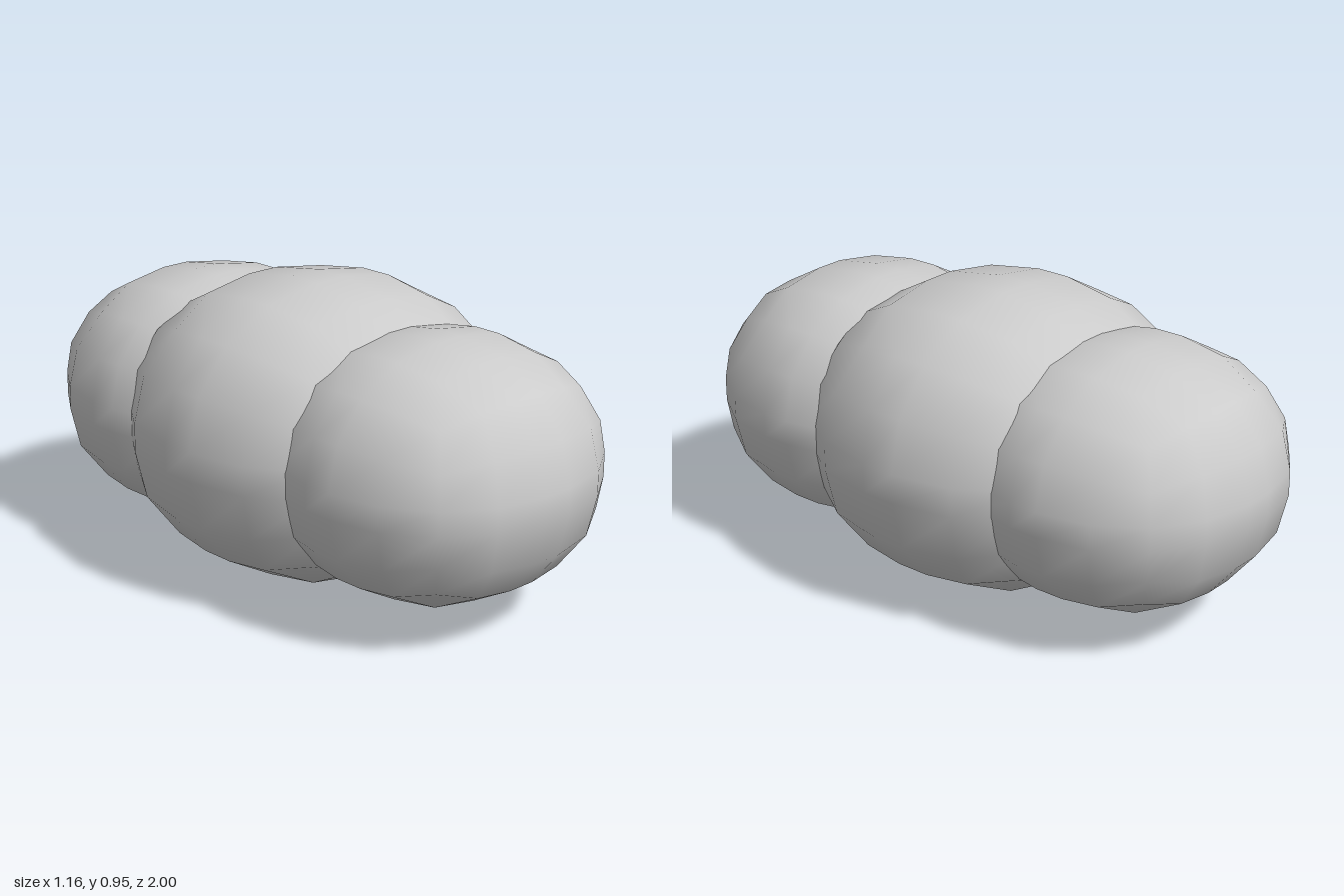
import * as THREE from 'three';
import { mergeVertices } from 'three/addons/utils/BufferGeometryUtils.js';

const FLAT = 0.1; // half-width of the flat strip between the rounded corners

// A cube with very large, evenly stepped rounded corners, almost a ball (half size 1)
function roundedCube() {
  const box = new THREE.BoxGeometry(5, 5, 5, 5, 5, 5);
  box.deleteAttribute('uv');
  box.deleteAttribute('normal');
  const geometry = mergeVertices(box);
  const position = geometry.attributes.position;
  const corner = (v) => Math.sign(v) * Math.tan((Math.abs(v) - 0.5) * Math.PI / 8);
  const p = new THREE.Vector3();
  for (let i = 0; i < position.count; i++) {
    p.fromBufferAttribute(position, i);
    const offset = new THREE.Vector3(Math.sign(p.x), Math.sign(p.y), Math.sign(p.z)).multiplyScalar(FLAT);
    p.set(corner(p.x), corner(p.y), corner(p.z)).normalize().multiplyScalar(1 - FLAT).add(offset);
    position.setXYZ(i, p.x, p.y, p.z);
  }
  return geometry;
}

export function createModel() {
  const group = new THREE.Group();
  const material = new THREE.MeshStandardMaterial({ color: 0xcccccc });

  const addLobe = (name, half, z) => {
    const geometry = roundedCube().scale(...half);
    geometry.computeVertexNormals();
    const mesh = new THREE.Mesh(geometry, material);
    mesh.name = name;
    mesh.position.set(0, 0.477, z);
    group.add(mesh);
  };

  // Large middle lobe with a smaller one at each end
  addLobe('middleLobe', [0.58, 0.477, 0.58], -0.018);
  addLobe('frontLobe', [0.49, 0.401, 0.493], 0.507);
  addLobe('backLobe', [0.49, 0.401, 0.493], -0.507);

  return group;
}
